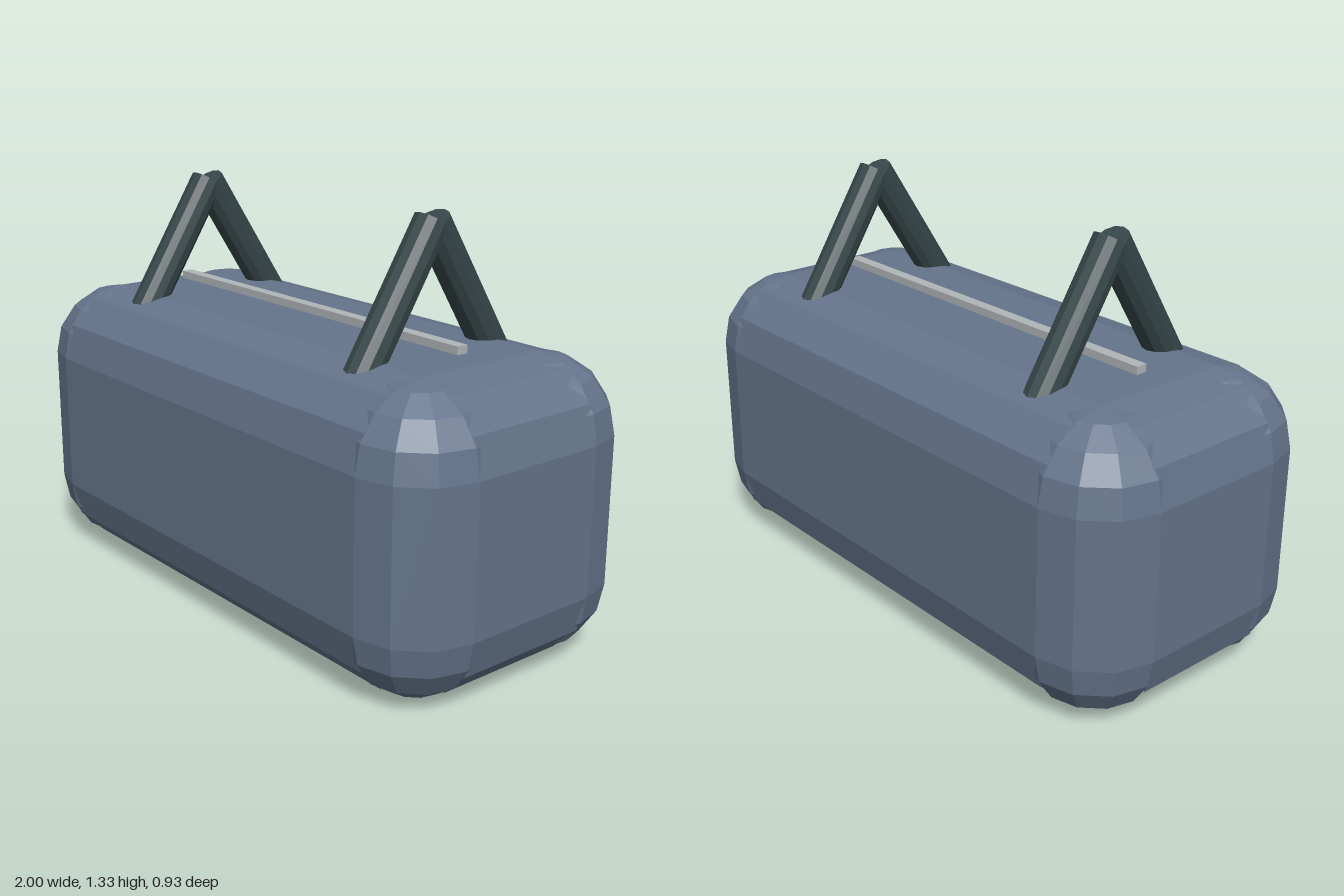
import * as THREE from 'three';

const W = 2, H = 0.925, D = 0.925, R = 0.231; // bag size and edge radius

function addMesh(parent, name, geometry, material, x = 0, y = 0, z = 0) {
  const mesh = new THREE.Mesh(geometry, material);
  mesh.name = name;
  mesh.position.set(x, y, z);
  parent.add(mesh);
  return mesh;
}

// Soft block: three crossing boxes, twelve edge cylinders, eight corner spheres
function createBody(material) {
  const body = new THREE.Group();
  body.name = 'bagBody';
  const w = W - 2 * R, h = H - 2 * R, d = D - 2 * R;
  addMesh(body, 'sidePanels', new THREE.BoxGeometry(W, h, d), material);
  addMesh(body, 'topAndBottomPanels', new THREE.BoxGeometry(w, H, d), material);
  addMesh(body, 'frontAndBackPanels', new THREE.BoxGeometry(w, h, D), material);

  const edge = (length) => new THREE.CylinderGeometry(R, R, length, 12, 1, true);
  const edgeX = edge(w).rotateZ(Math.PI / 2);
  const edgeY = edge(h);
  const edgeZ = edge(d).rotateX(Math.PI / 2);
  const corner = new THREE.SphereGeometry(R, 12, 8);
  for (const a of [-1, 1]) {
    for (const b of [-1, 1]) {
      addMesh(body, 'longEdge', edgeX, material, 0, a * h / 2, b * d / 2);
      addMesh(body, 'uprightEdge', edgeY, material, a * w / 2, 0, b * d / 2);
      addMesh(body, 'shortEdge', edgeZ, material, a * w / 2, b * h / 2, 0);
      for (const c of [-1, 1]) {
        addMesh(body, 'corner', corner, material, a * w / 2, b * h / 2, c * d / 2);
      }
    }
  }
  body.position.y = H / 2;
  return body;
}

// Inverted V of two straight tubes meeting above the bag
function createHandle(material, x) {
  const handle = new THREE.Group();
  handle.name = 'handle';
  const length = 0.56, tilt = 0.56;
  const tube = new THREE.CylinderGeometry(0.055, 0.055, length, 12);
  tube.translate(0, -length / 2, 0);
  for (const side of [-1, 1]) {
    addMesh(handle, 'handleLeg', tube, material).rotation.x = side * tilt;
  }
  handle.position.set(x, 1.296, 0);
  return handle;
}

export function createModel() {
  const fabric = new THREE.MeshStandardMaterial({ color: 0x64748b, flatShading: true });
  const strap = new THREE.MeshStandardMaterial({ color: 0x37474a, flatShading: true });
  const metal = new THREE.MeshStandardMaterial({ color: 0xb0b5b8 });

  const model = new THREE.Group();
  model.name = 'duffelBag';
  model.add(createBody(fabric));
  for (const x of [-0.555, 0.555]) model.add(createHandle(strap, x));
  addMesh(model, 'zipper', new THREE.BoxGeometry(1.385, 0.025, 0.038), metal, 0, 0.948, 0);
  return model;
}
